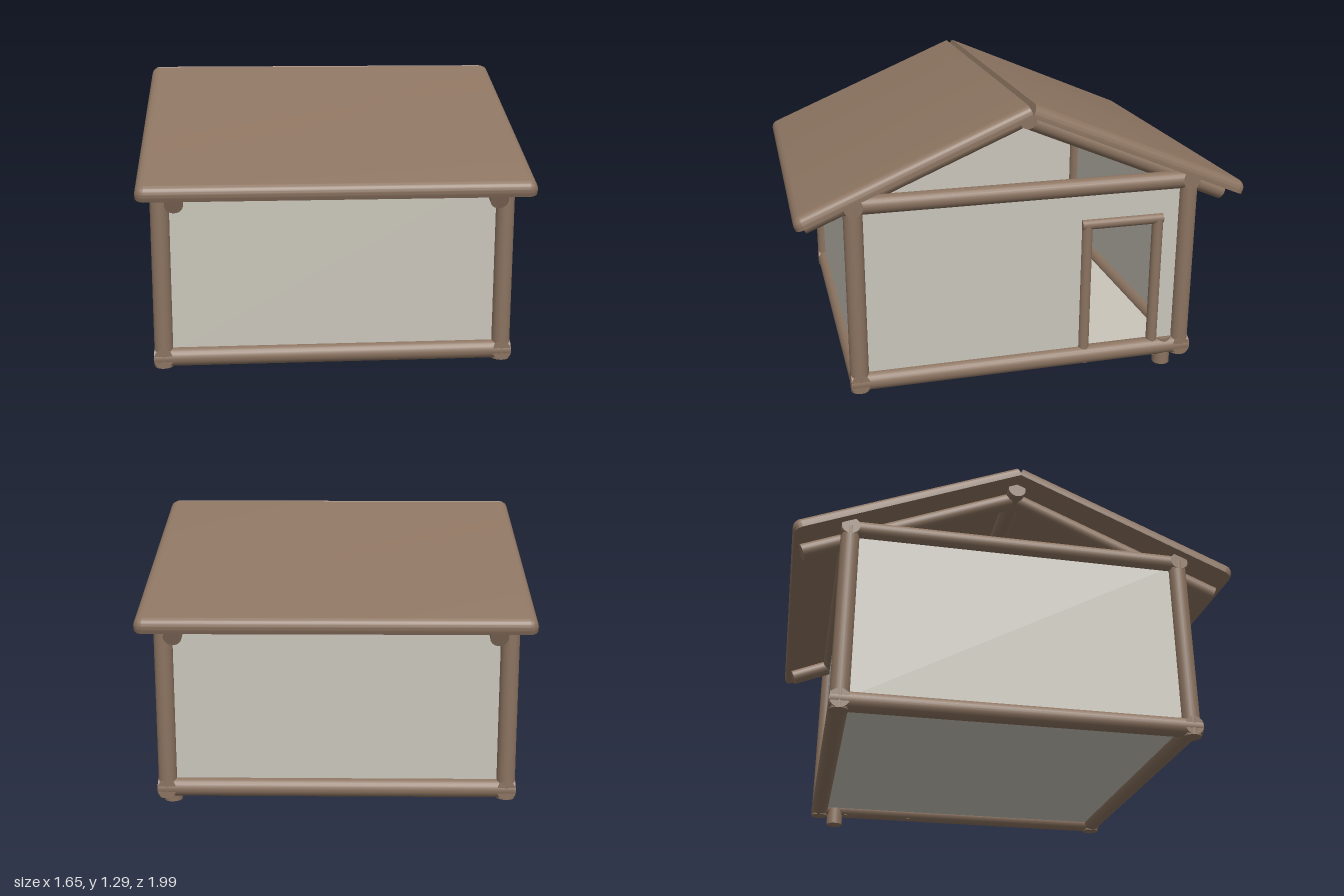
import * as THREE from 'three';
import { toCreasedNormals } from 'three/addons/utils/BufferGeometryUtils.js';
import { RoundedBoxGeometry } from 'three/addons/geometries/RoundedBoxGeometry.js';

const wood = new THREE.MeshStandardMaterial({ color: 0x8b7360 });
wood.name = 'wood';
const plaster = new THREE.MeshStandardMaterial({ color: 0xc9c5ba });
plaster.name = 'plaster';

const X = 0.745, Z = 0.75;          // wall planes
const SILL = 0.088, PLATE = 0.898;  // beam heights
const PITCH = Math.atan(0.42);

// Round log between two points
function log(name, a, b, r) {
  const from = new THREE.Vector3(...a), to = new THREE.Vector3(...b);
  const dir = to.clone().sub(from);
  const mesh = new THREE.Mesh(new THREE.CylinderGeometry(r, r, dir.length(), 24), wood);
  mesh.name = name;
  mesh.position.copy(from).add(to).multiplyScalar(0.5);
  mesh.quaternion.setFromUnitVectors(new THREE.Vector3(0, 1, 0), dir.normalize());
  return mesh;
}

// Thin plaster panel
function panel(name, w, h, d, x, y, z) {
  const mesh = new THREE.Mesh(new THREE.BoxGeometry(w, h, d), plaster);
  mesh.name = name;
  mesh.position.set(x, y, z);
  return mesh;
}

// Roof slab: flat underside and ridge end, rounded top edges elsewhere
function roofSlab() {
  const length = 1.075, t = 0.055, r = 0.04;
  const geo = new RoundedBoxGeometry(1.65, t * 2, length + r, 5, r);
  geo.translate(0, 0, (length - r) / 2);
  const p = geo.attributes.position;
  for (let i = 0; i < p.count; i++) {
    p.setY(i, Math.max(0, p.getY(i)));
    p.setZ(i, Math.max(0, p.getZ(i)));
  }
  return toCreasedNormals(geo, 0.6);
}

export function createModel() {
  const model = new THREE.Group();
  model.name = 'cabin';
  const midY = (SILL + PLATE) / 2, wallH = PLATE - SILL;

  // Corner posts
  for (const x of [-X, X]) for (const z of [-Z, Z])
    model.add(log('cornerPost', [x, 0.046, z], [x, PLATE, z], 0.041));

  // Sill and top beams
  for (const s of [-1, 1]) {
    model.add(log('longSill', [-0.785, SILL, s * Z], [0.785, SILL, s * Z], 0.042));
    model.add(log('sideSill', [s * X, SILL, -0.79], [s * X, SILL, 0.79], 0.042));
    model.add(log('wallPlate', [-0.785, PLATE, s * Z], [0.785, PLATE, s * Z], 0.04));
    model.add(log('tieBeam', [s * X, PLATE, -0.79], [s * X, PLATE, 0.79], 0.04));
    model.add(panel(s > 0 ? 'frontWall' : 'backWall', X * 2, wallH, 0.008, 0, midY, s * Z));
  }
  model.add(panel('leftOutWall', 0.008, wallH, Z * 2, -X, midY, 0));
  model.children[model.children.length - 1].name = 'plainSideWall';
  model.add(panel('floor', X * 2, 0.008, Z * 2, 0, SILL, 0));

  // Side wall with a doorway
  const d0 = -0.613, d1 = -0.278, doorTop = 0.723;
  const outline = new THREE.Shape([[-Z, SILL], [d0, SILL], [d0, doorTop], [d1, doorTop],
    [d1, SILL], [Z, SILL], [Z, PLATE], [-Z, PLATE]].map(([z, y]) => new THREE.Vector2(-z, y)));
  const doorWall = new THREE.Mesh(
    new THREE.ExtrudeGeometry(outline, { depth: 0.008, bevelEnabled: false }), plaster);
  doorWall.name = 'doorWall';
  doorWall.rotation.y = Math.PI / 2;
  doorWall.position.x = X - 0.004;
  model.add(doorWall);

  // Door frame and ground stump
  for (const z of [d0, d1])
    model.add(log('doorPost', [X, 0.052, z], [X, doorTop, z], 0.025));
  model.add(log('doorLintel', [X, doorTop, -0.634], [X, doorTop, -0.252], 0.024));
  model.add(log('stump', [0.737, 0, -0.67], [0.737, 0.13, -0.67], 0.04));

  // Roof: ridge pole, then mirrored slopes with rafters
  model.add(log('ridgePole', [-0.75, 1.215, 0], [0.75, 1.215, 0], 0.04));
  const slab = roofSlab();
  for (const side of [0, 1]) {
    const slope = new THREE.Group();
    slope.name = side ? 'backSlope' : 'frontSlope';
    const tilt = new THREE.Group();
    tilt.name = 'slopeFrame';
    tilt.position.set(0, 1.241, -0.004);
    tilt.rotation.x = PITCH;
    const roof = new THREE.Mesh(slab, wood);
    roof.name = 'roofSlab';
    tilt.add(roof);
    for (const x of [-0.67, 0.67])
      tilt.add(log('rafter', [x, -0.034, 0.04], [x, -0.034, 1.05], 0.038));
    slope.add(tilt);
    slope.rotation.y = side * Math.PI;
    model.add(slope);
  }
  return model;
}
